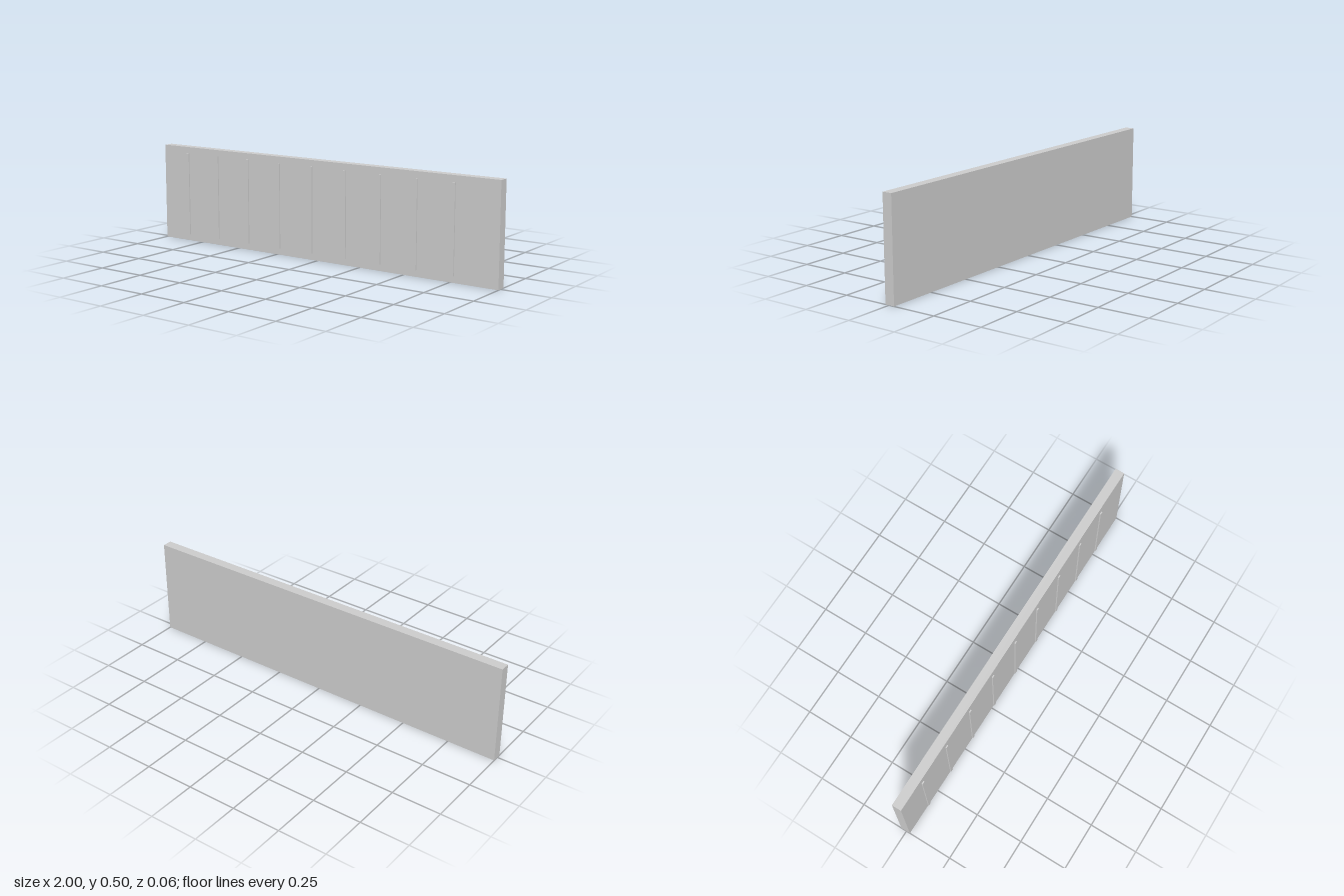
import * as THREE from 'three';

export function createModel() {
  const group = new THREE.Group();
  const material = new THREE.MeshStandardMaterial({ color: 0xcccccc });

  const addBox = (name, size, position) => {
    const mesh = new THREE.Mesh(new THREE.BoxGeometry(...size), material);
    mesh.name = name;
    mesh.position.set(...position);
    group.add(mesh);
  };

  // Flat wall slab
  addBox('panel', [2, 0.5, 0.049], [0, 0.25, -0.0045]);

  // Thin upright strips floating just ahead of the front face
  const stripCount = 9;
  for (let i = 0; i < stripCount; i++) {
    addBox(`strip${i + 1}`, [0.015, 0.434, 0.006], [-0.834 + i * 0.2, 0.251, 0.027]);
  }

  return group;
}
